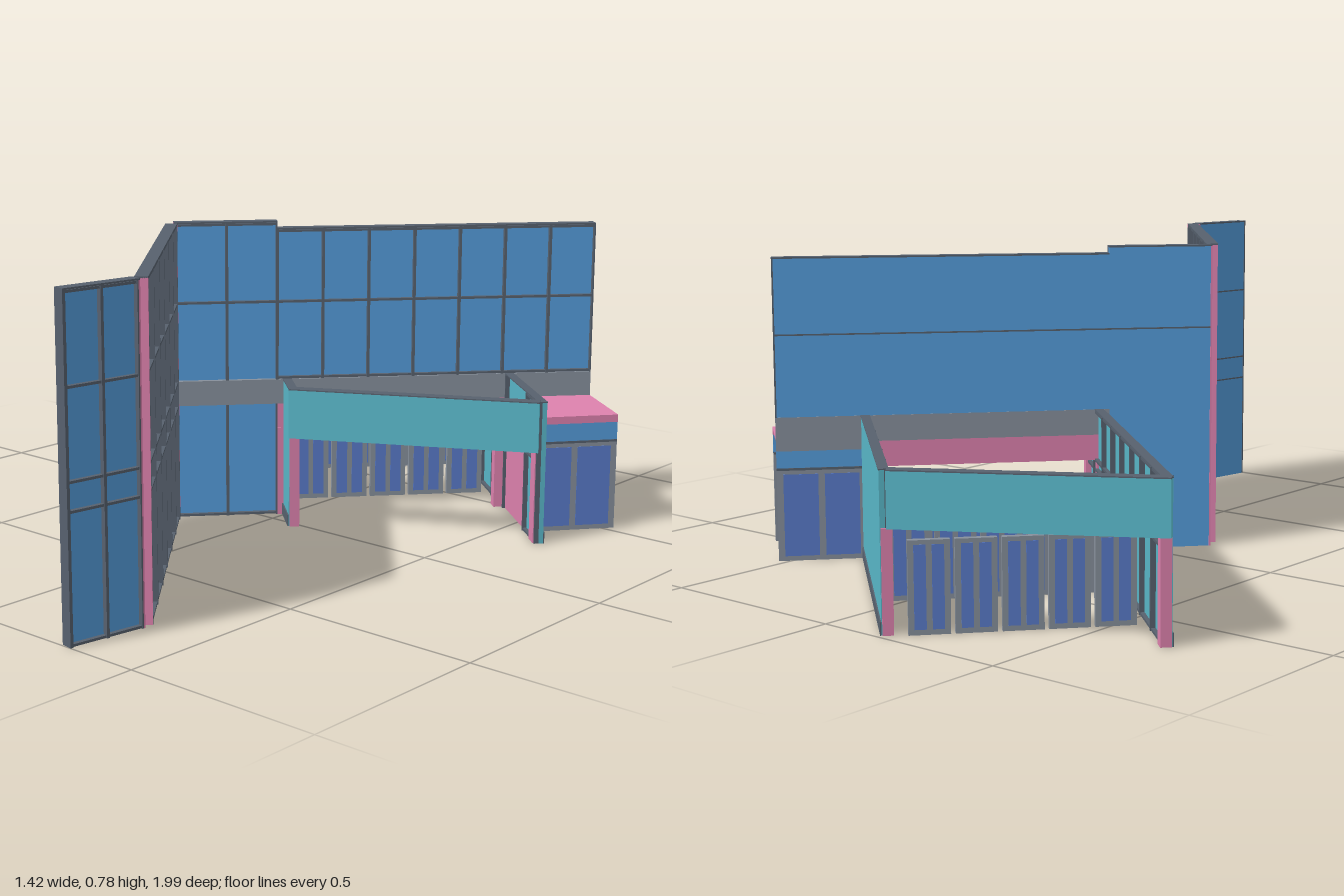
import * as THREE from 'three';

const mat = (name, color) => {
  const m = new THREE.MeshStandardMaterial({ color });
  m.name = name;
  return m;
};

export function createModel() {
  const root = new THREE.Group();
  root.name = 'glassPavilion';
  const glass = mat('blue glass', 0x559ddc);
  const teal = mat('teal panel', 0x59b7c8);
  const pink = mat('pink trim', 0xde82ae);
  const slate = mat('slate frame', 0x57616e);
  const grey = mat('grey metal', 0x87909c);
  const door = mat('door blue', 0x597bca);

  // Group running from plan point p to q: local x along the wall, local z to its framed side
  const run = (name, p, q) => {
    const g = new THREE.Group();
    g.name = name;
    const dx = q[0] - p[0], dz = q[1] - p[1];
    g.position.set(p[0], 0, p[1]);
    g.rotation.y = Math.atan2(-dz, dx);
    g.userData.length = Math.hypot(dx, dz);
    root.add(g);
    return g;
  };
  const box = (g, name, m, x0, x1, y0, y1, z0, z1) => {
    const mesh = new THREE.Mesh(new THREE.BoxGeometry(x1 - x0, y1 - y0, z1 - z0), m);
    mesh.position.set((x0 + x1) / 2, (y0 + y1) / 2, (z0 + z1) / 2);
    mesh.name = name;
    g.add(mesh);
  };

  // Narrow, deep bars on the framed side, between x0 and x1
  const bars = (g, x0, x1, y0, y1, bays, rails, z0, z1) => {
    const w = 0.0035;
    for (let i = 0; i <= bays; i++) {
      const x = x0 + ((x1 - x0) * i) / bays;
      box(g, 'mullion', slate, Math.max(x - w, x0), Math.min(x + w, x1), y0, y1, z0, z1);
    }
    for (const y of rails) box(g, 'rail', slate, x0, x1, y - 0.003, y + 0.003, z0, z1 - 0.002);
  };
  // Thin joint lines on the smooth side
  const joints = (g, x0, x1, z, heights) => {
    for (const y of heights) box(g, 'joint', slate, x0, x1, y - 0.002, y + 0.002, z - 0.001, z + 0.002);
  };
  // Double-leaf door: grey frame with thin panes on both sides
  const doorUnit = (g, x0, x1, h, e) => {
    box(g, 'doorFrame', grey, x0, x1, 0, h, -0.008, 0.008);
    const mid = (x0 + x1) / 2;
    for (const [a, b] of [[x0 + e, mid - e / 2], [mid + e / 2, x1 - e]])
      box(g, 'doorPane', door, a, b, 0.012, h - 0.01, -0.009, 0.009);
  };

  const A = [-0.17, -0.98], B = [-0.695, -0.667], C = [0.085, 0.018], D = [0.645, -0.283];
  const E = [0.528, -0.673], F = [-0.204, 0.151];

  // Detached tall glass screens with coloured ends
  const screen = (name, p, q, bays, endA, endB) => {
    const g = run(name, p, q), L = g.userData.length;
    box(g, 'pane', glass, 0.004, L - 0.004, 0, 0.776, -0.014, 0.002);
    bars(g, 0.004, L - 0.004, 0, 0.776, bays, [0.004, 0.3, 0.365, 0.57, 0.772], 0.002, 0.015);
    joints(g, 0.004, L - 0.004, -0.014, [0.3, 0.365, 0.57]);
    box(g, 'topCap', slate, 0, L, 0.776, 0.78, -0.015, 0.015);
    box(g, 'startEnd', endA, 0, 0.004, 0, 0.778, -0.015, 0.015);
    box(g, 'farEnd', endB, L - 0.004, L, 0, 0.778, -0.015, 0.015);
  };
  screen('longScreen', [0.331, 0.79], [-0.19, 0.173], 6, pink, pink);
  screen('shortScreen', [0.3, 0.998], [0.329, 0.803], 2, slate, pink);

  // Tall wall crossing the low enclosure
  const tall = run('crossingWall', F, E), T = tall.userData.length, c1 = 0.265, c2 = 0.882;
  box(tall, 'outerPane', glass, 0.004, c1, 0, 0.776, -0.014, 0.002);
  box(tall, 'upperPane', glass, c1, T, 0.365, 0.758, -0.014, 0.002);
  box(tall, 'outerCap', slate, 0, c1, 0.776, 0.78, -0.015, 0.015);
  box(tall, 'upperCap', slate, c1, T, 0.758, 0.762, -0.015, 0.015);
  box(tall, 'freeEnd', pink, 0, 0.004, 0, 0.778, -0.015, 0.015);
  box(tall, 'innerEnd', slate, T - 0.004, T, 0.365, 0.758, -0.015, 0.015);
  bars(tall, 0.004, c1, 0.365, 0.776, 2, [0.57, 0.772], 0.002, 0.015);
  bars(tall, 0.004, c1, 0, 0.3, 2, [0.004], 0.002, 0.015);
  bars(tall, c1, T, 0.365, 0.758, 7, [0.369, 0.57, 0.754], 0.002, 0.015);
  joints(tall, 0.004, T, -0.014, [0.57]);
  box(tall, 'outerBand', grey, 0.004, c1, 0.3, 0.365, 0.002, 0.015);
  box(tall, 'band', grey, c1, c2, 0.3, 0.365, -0.015, 0.015);
  box(tall, 'lintel', pink, c1, c2, 0.235, 0.3, -0.014, 0.014);
  box(tall, 'jamb', pink, c1, c1 + 0.034, 0, 0.235, -0.016, 0.016);
  box(tall, 'farJamb', pink, c2 - 0.034, c2, 0, 0.235, -0.016, 0.016);
  box(tall, 'endBand', grey, c2, T, 0.28, 0.365, -0.015, 0.015);
  box(tall, 'transom', glass, c2, T, 0.236, 0.28, -0.008, 0.008);
  box(tall, 'transomRail', slate, c2, T, 0.23, 0.236, -0.01, 0.01);
  doorUnit(tall, c2, T, 0.23, 0.016);

  // Low teal walls: smooth outside with a base strip, framed inside
  const lowWall = (name, p, q, gap) => {
    const g = run(name, p, q), L = g.userData.length;
    const spans = gap ? [[0, gap[0]], [gap[1], L]] : [[0, L]];
    for (const [a, b] of spans) {
      box(g, 'panel', teal, a, b, 0, 0.363, -0.01, 0.002);
      box(g, 'baseStrip', slate, a, b, 0, 0.03, -0.013, -0.01);
      bars(g, a, b, 0, 0.363, Math.max(1, Math.round((b - a) / 0.129)), [0.004, 0.21, 0.235, 0.359], 0.002, 0.014);
    }
    if (gap) {
      box(g, 'panelAbovePink', teal, gap[0], gap[1], 0.3, 0.363, -0.01, 0.002);
      box(g, 'pinkPanel', pink, gap[0], gap[1], 0, 0.3, -0.01, 0.006);
    }
    box(g, 'topCap', slate, 0, L, 0.363, 0.366, -0.011, 0.012);
    box(g, 'startPost', pink, -0.004, 0.028, 0, 0.237, -0.008, 0.017);
    if (gap) box(g, 'endPlate', pink, L - 0.044, L - 0.006, 0, 0.237, 0.013, 0.0155);
    else box(g, 'endPost', pink, L - 0.028, L + 0.003, 0, 0.237, -0.008, 0.017);
  };
  lowWall('lowWallFront', C, B, null);
  lowWall('lowWallBack', A, D, [0.755, 0.955]);

  // Raised beams closing the two ends of the enclosure
  for (const [name, p, q] of [['rearBeam', A, B], ['frontBeam', D, C]]) {
    const g = run(name, p, q), L = g.userData.length;
    box(g, 'beam', teal, 0.008, L + 0.008, 0.238, 0.364, -0.015, 0.015);
    box(g, 'beamCap', slate, 0.008, L + 0.008, 0.364, 0.367, -0.015, 0.015);
  }

  // Three rows of double doors inside
  const rows = [
    [[-0.535, -0.565], [-0.2, -0.95]],
    [[-0.315, -0.375], [0.04, -0.775]],
    [[-0.09, -0.175], [0.26, -0.575]],
  ];
  for (const [p, q] of rows) {
    const g = run('doorRow', p, q), step = g.userData.length / 5;
    for (let i = 0; i < 5; i++) doorUnit(g, i * step + 0.005, (i + 1) * step - 0.005, 0.21, 0.013);
  }

  // Porch: glazed side and pink roof, open at the far end
  const porch = run('porch', [0.565, -0.355], [0.705, -0.53]), P = porch.userData.length;
  doorUnit(porch, 0, P, 0.23, 0.016);
  box(porch, 'porchRail', slate, 0, P, 0.23, 0.236, -0.009, 0.009);
  box(porch, 'porchTransom', glass, 0, P, 0.236, 0.282, -0.008, 0.008);
  box(porch, 'porchFascia', pink, 0, P, 0.282, 0.3, -0.01, 0.01);
  box(porch, 'porchRoof', pink, 0, P, 0.296, 0.301, -0.225, 0.01);

  return root;
}
